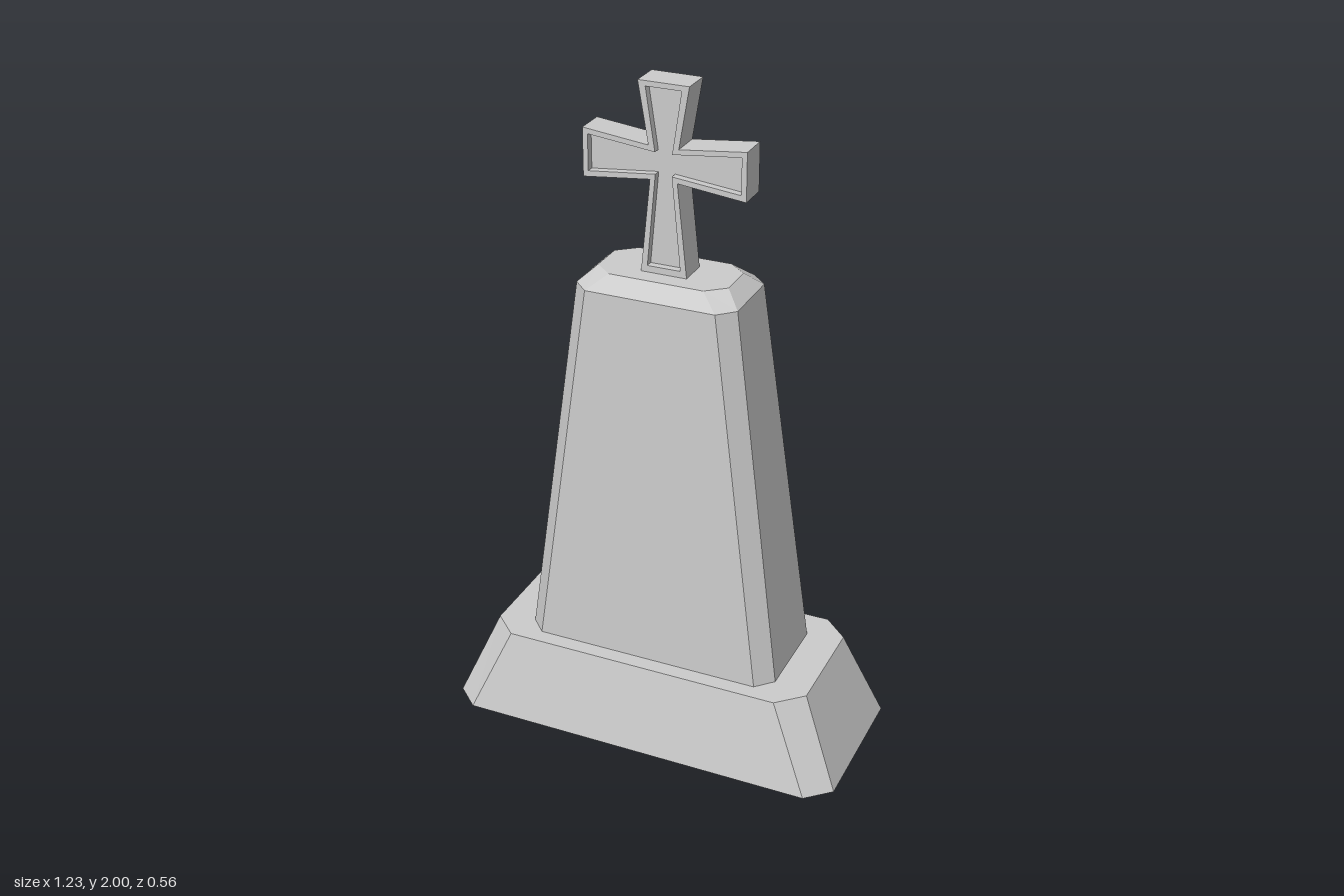
import * as THREE from 'three';

const stone = new THREE.MeshStandardMaterial({ color: 0xcccccc, flatShading: true, side: THREE.DoubleSide });

// Chamfered rectangle ring: half sizes x, z and where the straight edges end (cx, cz)
function ring([y, x, z, cx, cz]) {
  return [[x, cz], [cx, z], [-cx, z], [-x, cz], [-x, -cz], [-cx, -z], [cx, -z], [x, -cz]]
    .map(([px, pz]) => [px, y, pz]);
}

// Flat-sided loft through the rings, closed on top and open below
function loft(name, sections) {
  const rings = sections.map(ring);
  const pos = [];
  const tri = (...pts) => pts.forEach((p) => pos.push(...p));
  for (let r = 0; r < rings.length - 1; r++) {
    const lo = rings[r], hi = rings[r + 1];
    for (let i = 0; i < 8; i++) {
      const j = (i + 1) % 8;
      tri(lo[i], hi[i], hi[j]);
      tri(lo[i], hi[j], lo[j]);
    }
  }
  const top = rings[rings.length - 1];
  for (let i = 1; i < 7; i++) tri(top[0], top[i + 1], top[i]);
  const geo = new THREE.BufferGeometry();
  geo.setAttribute('position', new THREE.Float32BufferAttribute(pos, 3));
  geo.computeVertexNormals();
  const mesh = new THREE.Mesh(geo, stone);
  mesh.name = name;
  return mesh;
}

// Flared cross outline, mirrored from its right half (listed top to bottom)
function crossPoints(half) {
  const left = half.map(([x, y]) => [-x, y]).reverse();
  return [...half, ...left].map(([x, y]) => new THREE.Vector2(x, y));
}

function extrude(name, shape, depth) {
  const geo = new THREE.ExtrudeGeometry(shape, { depth, bevelEnabled: false });
  geo.translate(0, 0, -depth / 2);
  const mesh = new THREE.Mesh(geo, stone);
  mesh.name = name;
  return mesh;
}

export function createModel() {
  const model = new THREE.Group();
  model.name = 'gravestone';

  // Flared plinth, hollow underneath
  model.add(loft('plinth', [
    [0, 0.615, 0.282, 0.543, 0.217],
    [0.27, 0.5, 0.23, 0.425, 0.16],
  ]));

  // Tapered pillar with a bevelled top
  model.add(loft('pillar', [
    [0.27, 0.393, 0.182, 0.345, 0.133],
    [1.415, 0.24, 0.143, 0.193, 0.097],
    [1.457, 0.195, 0.099, 0.14, 0.053],
  ]));

  // Cross: raised rim around a recessed panel on both faces
  const outer = crossPoints([
    [0.074, 2], [0.044, 1.824], [0.238, 1.846], [0.238, 1.706], [0.04, 1.728], [0.068, 1.457],
  ]);
  const inner = crossPoints([
    [0.052, 1.985], [0.025, 1.807], [0.223, 1.829], [0.223, 1.724], [0.024, 1.745], [0.049, 1.476],
  ]);
  const rim = new THREE.Shape(outer);
  rim.holes.push(new THREE.Path(inner));
  const cross = new THREE.Group();
  cross.name = 'cross';
  cross.add(extrude('crossRim', rim, 0.09));
  cross.add(extrude('crossPanel', new THREE.Shape(inner), 0.045));
  model.add(cross);

  return model;
}
